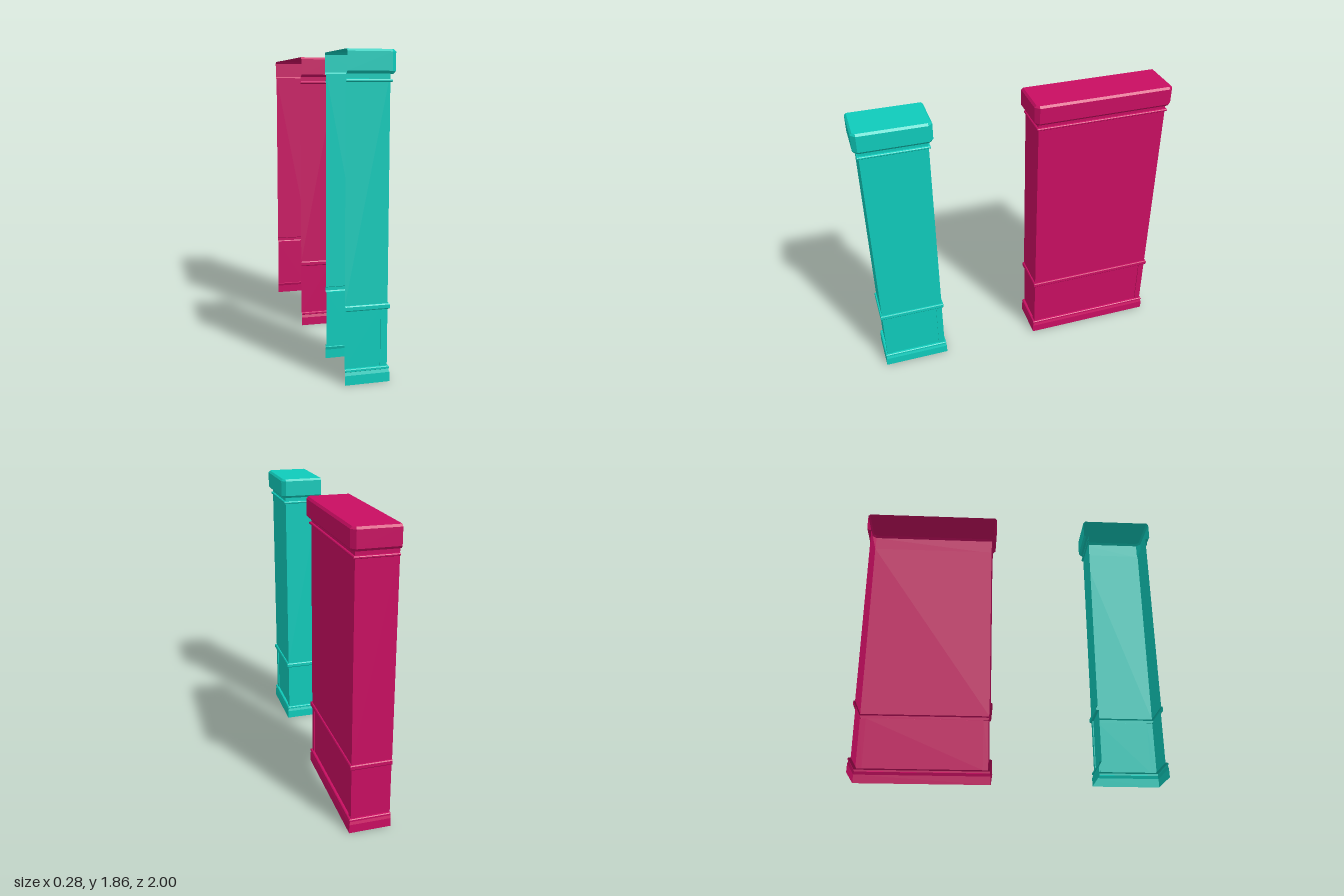
import * as THREE from 'three';

const BACK = -0.14;    // open side of each pilaster
const FACE = 0.11;     // broad face of the shaft
const RECESS = 0.006;  // depth of the lower panels
const STRIP = 0.04;    // width of the corner strips

// U-shaped plan outline, pushed out by o, with corners cut by c
function outline(z0, z1, o, c = 0) {
  const x = FACE + o, a = z0 - o, b = z1 + o;
  if (!c) return [[BACK, a], [x, a], [x, b], [BACK, b]];
  return [[BACK, a], [x - c, a], [x, a + c], [x, b - c], [x - c, b], [BACK, b]];
}

// Plan outline with raised corner strips and recessed panels
function panelOutline(z0, z1) {
  const r = RECESS, s = STRIP, x = FACE;
  const half = [[BACK, r], [x - s, r], [x - s, 0], [x, 0], [x, s], [x - r, s]];
  return [
    ...half.map(([px, d]) => [px, z0 + d]),
    ...half.slice().reverse().map(([px, d]) => [px, z1 - d]),
  ];
}

// Skin a stack of rings { y, pts }; optionally close the top
function skin(rings, closeTop = false) {
  const pos = [];
  const put = (ring, i) => pos.push(ring.pts[i][0], ring.y, ring.pts[i][1]);
  for (let k = 0; k < rings.length - 1; k++) {
    const lo = rings[k], hi = rings[k + 1];
    for (let i = 0; i < lo.pts.length - 1; i++) {
      put(lo, i); put(hi, i); put(lo, i + 1);
      put(lo, i + 1); put(hi, i); put(hi, i + 1);
    }
  }
  if (closeTop) {
    const top = rings[rings.length - 1];
    for (let i = 1; i < top.pts.length - 1; i++) {
      put(top, 0); put(top, i + 1); put(top, i);
    }
  }
  const geo = new THREE.BufferGeometry();
  geo.setAttribute('position', new THREE.Float32BufferAttribute(pos, 3));
  geo.computeVertexNormals();
  return geo;
}

// Profiles as [height, outset from the shaft]
const PROFILES = {
  plinth: [[0, 0.013], [0.055, 0.012], [0.073, 0.006]],
  plinthBead: [[0.073, 0.006], [0.076, 0.011], [0.087, 0.011], [0.091, 0.006], [0.091, -RECESS]],
  dadoRail: [[0.426, -RECESS], [0.426, 0.007], [0.432, 0.011], [0.452, 0.011], [0.458, 0.007], [0.458, 0]],
  shaft: [[0.458, 0], [1.735, 0]],
  neckBead: [[1.685, 0], [1.687, 0.008], [1.691, 0.011], [1.697, 0.011], [1.701, 0.008], [1.703, 0]],
};
const CAP = [[1.73, 0], [1.73, 0.017], [1.745, 0.03], [1.847, 0.03], [1.86, 0.018]];

function pilaster(name, z0, z1, color) {
  const group = new THREE.Group();
  group.name = name;
  const material = new THREE.MeshStandardMaterial({ color, side: THREE.DoubleSide, flatShading: true });
  const add = (part, geo) => {
    const mesh = new THREE.Mesh(geo, material);
    mesh.name = part;
    group.add(mesh);
  };

  // Mouldings and shaft
  for (const [part, profile] of Object.entries(PROFILES)) {
    add(part, skin(profile.map(([y, o]) => ({ y, pts: outline(z0, z1, o) }))));
  }

  // Recessed panels between plinth and rail
  const pts = panelOutline(z0, z1);
  add('lowerPanels', skin([{ y: 0.091, pts }, { y: 0.426, pts }]));

  // Cap with cut corners and a closed top
  add('cap', skin(CAP.map(([y, o]) => ({
    y, pts: outline(z0, z1, o, Math.max(0.002, o * 0.9)),
  })), true));
  return group;
}

export function createModel() {
  const model = new THREE.Group();
  model.name = 'pilasters';
  model.add(pilaster('narrowPilaster', 0.56, 0.97, 0x0fcbbb));
  model.add(pilaster('widePilaster', -0.97, -0.12, 0xc90e62));
  return model;
}
